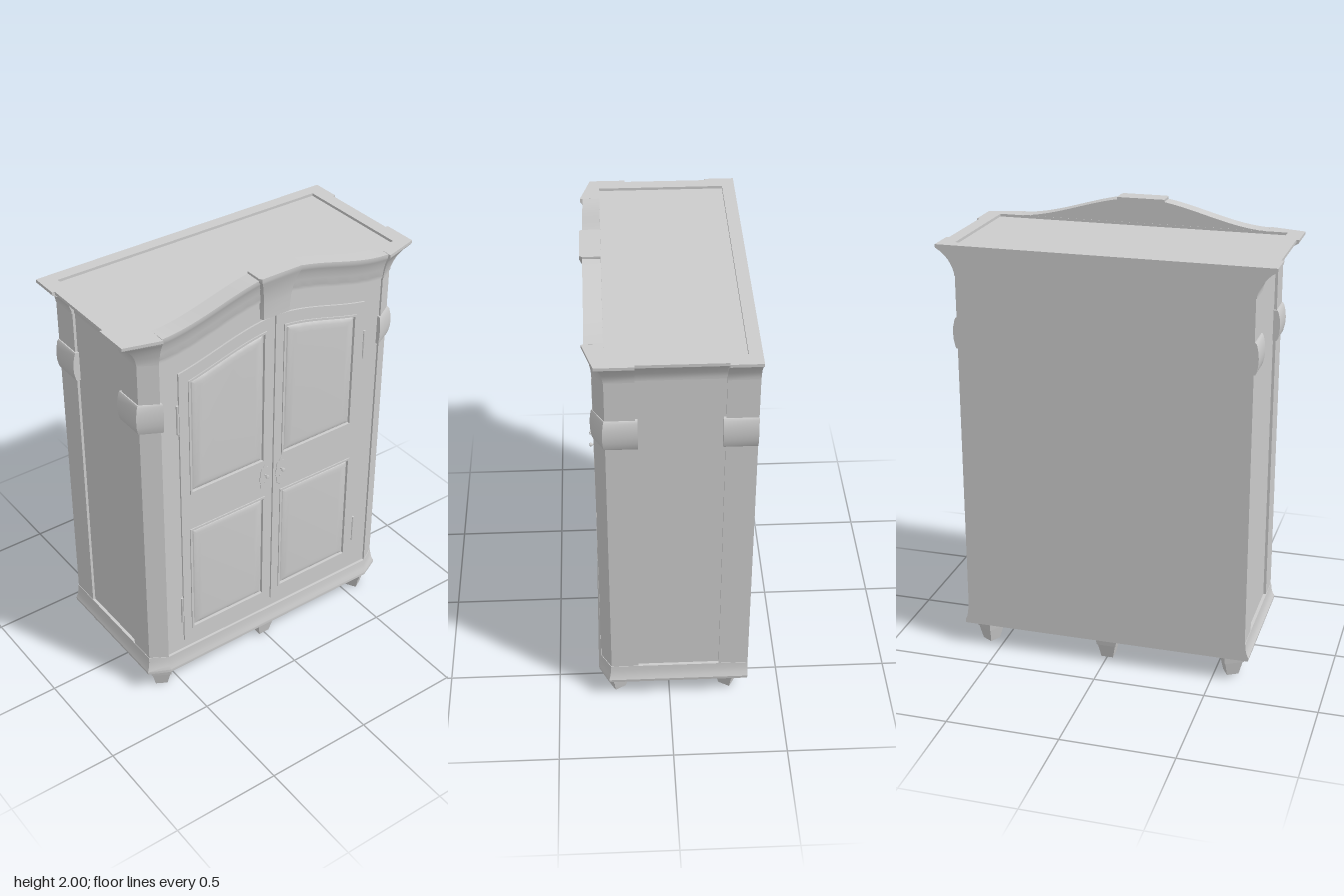
import * as THREE from 'three';
import { toCreasedNormals } from 'three/addons/utils/BufferGeometryUtils.js';

const mat = new THREE.MeshStandardMaterial({ color: 0xcccccc });

function add(parent, name, geo, x = 0, y = 0, z = 0) {
  const m = new THREE.Mesh(toCreasedNormals(geo, 0.55), mat);
  m.name = name;
  m.position.set(x, y, z);
  parent.add(m);
  return m;
}

// Capped loft through rings [t, [[u, v], ...]]; map(u, v, t) gives the 3D point.
function loft(rings, map) {
  const flat = rings[0][1].map(p => new THREE.Vector2(p[0], p[1]));
  const flip = THREE.ShapeUtils.isClockWise(flat);
  const pos = [], idx = [], n = flat.length;
  if (flip) flat.reverse();
  for (const [t, pts] of rings) {
    for (const [u, v] of flip ? [...pts].reverse() : pts) pos.push(...map(u, v, t));
  }
  for (let i = 0; i < rings.length - 1; i++) {
    for (let j = 0; j < n; j++) {
      const a = i * n + j, b = i * n + (j + 1) % n;
      idx.push(a, a + n, b, b, a + n, b + n);
    }
  }
  const last = (rings.length - 1) * n;
  for (const [a, b, c] of THREE.ShapeUtils.triangulateShape(flat, [])) {
    idx.push(a, b, c, last + a, last + c, last + b);
  }
  const g = new THREE.BufferGeometry();
  g.setAttribute('position', new THREE.Float32BufferAttribute(pos, 3));
  g.setIndex(idx);
  return g;
}
const upright = (x, z, y) => [x, y, z];
const sideways = (z, y, x) => [x, y, z];

// Plan outlines, given as the +x half from back to front
const mirror = half => [...half, ...half.map(([x, z]) => [-x, z]).reverse()];
const bodyPlan = mirror([[0.645, -0.35], [0.645, -0.22], [0.633, -0.22], [0.633, 0.14],
  [0.645, 0.14], [0.645, 0.26], [0.57, 0.305], [0.57, 0.295]]);
const basePlan = mirror([[0.645, -0.35], [0.645, 0.26], [0.57, 0.305]]);

// Pushes the side points out in x and the front points out in z
const outset = (plan, dx, dz) => plan.map(([x, z]) => [
  Math.abs(x) > 0.6 ? x + Math.sign(x) * dx : x,
  z > 0.3 || (z > 0.2 && Math.abs(x) > 0.6) ? z + dz : z]);
const moulding = (plan, levels) =>
  loft(levels.map(([y, dx, dz]) => [y, outset(plan, dx, dz)]), upright);

// Height of the shared arch curve above its springing
const arch = x => 0.11 * THREE.MathUtils.smoothstep(-Math.abs(x), -0.58, 0);

// Panel outline with a straight foot and an optional arched head
function outline(x0, x1, y0, y1, arched, inset = 0) {
  const pts = [], N = arched ? 16 : 1;
  x0 += inset; x1 -= inset; y0 += inset; y1 -= inset;
  pts.push(new THREE.Vector2(x0, y0), new THREE.Vector2(x1, y0));
  for (let i = 0; i <= N; i++) {
    const x = x1 + (x0 - x1) * i / N;
    pts.push(new THREE.Vector2(x, y1 + (arched ? arch(x) : 0)));
  }
  return pts;
}
const extrude = (pts, holes, depth, opts = {}) => {
  const s = new THREE.Shape(pts);
  for (const h of holes) s.holes.push(new THREE.Path(h));
  return new THREE.ExtrudeGeometry(s, { depth, bevelEnabled: false, ...opts });
};

function makeDoor(s) {
  const door = new THREE.Group();
  door.name = s > 0 ? 'leftDoor' : 'rightDoor';
  const span = (a, b) => s > 0 ? [a, b] : [-b, -a];
  const panels = [
    ['upper', ...span(0.045, 0.435), 1.06, 1.615, true],
    ['lower', ...span(0.042, 0.44), 0.30, 0.87, false]];
  add(door, 'doorFrame', extrude(outline(...span(0.004, 0.48), 0.245, 1.67, true),
    panels.map(p => outline(...p.slice(1))), 0.013), 0, 0, 0.29);
  for (const [name, ...p] of panels) {
    // moulding strip around a bevelled raised field
    add(door, name + 'PanelMoulding',
      extrude(outline(...p), [outline(...p, 0.01)], 0.016), 0, 0, 0.292);
    add(door, name + 'RaisedPanel', extrude(outline(...p, 0.055), [], 0.001,
      { bevelEnabled: true, bevelSize: 0.04, bevelThickness: 0.009, bevelSegments: 3 }), 0, 0, 0.296);
  }
  for (const y of [0.43, 1.46]) {
    add(door, 'hinge', new THREE.CylinderGeometry(0.006, 0.006, 0.14, 10), s * 0.487, y, 0.3);
  }
  // scalloped lock plate with knob and key boss
  const plate = [];
  for (let i = 0; i < 48; i++) {
    const a = i / 48 * Math.PI * 2, r = 1 + 0.06 * Math.cos(8 * a);
    plate.push(new THREE.Vector2(0.026 * r * Math.cos(a), 0.07 * r * Math.sin(a)));
  }
  add(door, 'lockPlate', extrude(plate, [], 0.004), s * 0.043, 0.97, 0.302);
  const knob = new THREE.LatheGeometry([[0.004, 0], [0.004, 0.014], [0.009, 0.019],
    [0.009, 0.025], [0, 0.028]].map(p => new THREE.Vector2(...p)), 16).rotateX(Math.PI / 2);
  add(door, 'knob', knob, s * 0.043, 0.99, 0.304);
  add(door, 'keyBoss', new THREE.CylinderGeometry(0.006, 0.006, 0.004, 12).rotateX(Math.PI / 2),
    s * 0.043, 0.95, 0.307);
  return door;
}

export function createModel() {
  const wardrobe = new THREE.Group();
  wardrobe.name = 'wardrobe';

  // Carcass, flared plinth and flared cornice
  add(wardrobe, 'body', moulding(bodyPlan, [[0.115, 0, 0], [1.77, 0, 0]]));
  add(wardrobe, 'plinth', moulding(basePlan, [[0.11, 0.016, 0.012], [0.125, 0.018, 0.013],
    [0.145, 0.009, 0.007], [0.17, 0.004, 0.004], [0.195, 0.002, 0.002]]));
  add(wardrobe, 'cornice', moulding(bodyPlan, [[1.76, 0.003, 0.002], [1.775, 0.004, 0.003],
    [1.8, 0.013, 0.008], [1.825, 0.027, 0.014], [1.845, 0.044, 0.021], [1.862, 0.063, 0.028],
    [1.874, 0.083, 0.036], [1.878, 0.085, 0.037]]));

  // Raised rim around the sunken top
  const rim = outset(bodyPlan, 0.085, 0.037).map(p => new THREE.Vector2(...p));
  const well = [[-0.66, -0.295], [0.66, -0.295], [0.66, 0.255], [-0.66, 0.255]]
    .map(p => new THREE.Vector2(...p));
  add(wardrobe, 'topRim', extrude(rim, [well], 0.013).rotateX(Math.PI / 2), 0, 1.89, 0);

  // Arched front cornice, a profile (z, drop) swept along the arch
  const profile = [[0.256, 0], [0.331, 0], [0.331, -0.016], [0.325, -0.028], [0.317, -0.05],
    [0.309, -0.08], [0.305, -0.11], [0.303, -0.115], [0.303, -0.128], [0.256, -0.128]];
  const archRings = [];
  for (let i = 0; i <= 40; i++) {
    const x = -0.568 + 1.136 * i / 40;
    archRings.push([x, profile.map(([z, d]) => [z, 1.89 + arch(x) + d])]);
  }
  add(wardrobe, 'archedCornice', loft(archRings, sideways));

  // Keystone: height, half width, front depth
  const key = [[1.785, 0.064, 0.31], [1.86, 0.069, 0.313], [1.9, 0.074, 0.319],
    [1.94, 0.082, 0.328], [1.972, 0.094, 0.339], [1.984, 0.1, 0.343], [2, 0.1, 0.343]];
  add(wardrobe, 'keystone', loft(key.map(([y, w, z]) =>
    [y, mirror([[w + 0.008, 0.256], [w + 0.008, z - 0.012], [w, z]])]), upright));

  // Bulging capitals on the four corner posts
  const bulge = [[1.437, 0.006, 0.004], [1.445, 0.01, 0.006], [1.475, 0.017, 0.01],
    [1.505, 0.019, 0.011], [1.535, 0.017, 0.01], [1.567, 0.01, 0.006], [1.575, 0.005, 0.003]];
  const frontPost = [[0.6, 0.13], [0.645, 0.13], [0.645, 0.26], [0.562, 0.307], [0.562, 0.27]];
  const backPost = [[0.6, -0.35], [0.645, -0.35], [0.645, -0.21], [0.6, -0.21]];
  for (const s of [1, -1]) {
    const side = s > 0 ? 'left' : 'right';
    for (const [name, post] of [['FrontCapital', frontPost], ['BackCapital', backPost]]) {
      add(wardrobe, side + name, moulding(post.map(([x, z]) => [s * x, z]), bulge));
    }
    wardrobe.add(makeDoor(s));
  }

  // Six tapered two-tier feet, the corner ones turned outwards
  const block = (top, bottom, h) => new THREE.CylinderGeometry(
    top * Math.SQRT2, bottom * Math.SQRT2, h, 4).rotateY(Math.PI / 4);
  for (const x of [-0.57, 0, 0.57]) {
    for (const z of [0.235, -0.265]) {
      const foot = new THREE.Group();
      foot.name = 'foot';
      add(foot, 'footCollar', block(0.051, 0.044, 0.045), 0, 0.0885, 0);
      add(foot, 'footTaper', block(0.041, 0.027, 0.068), 0, 0.034, 0);
      foot.position.set(x, 0, z);
      foot.rotation.y = Math.sign(x * z) * Math.PI / 6;
      wardrobe.add(foot);
    }
  }
  return wardrobe;
}
